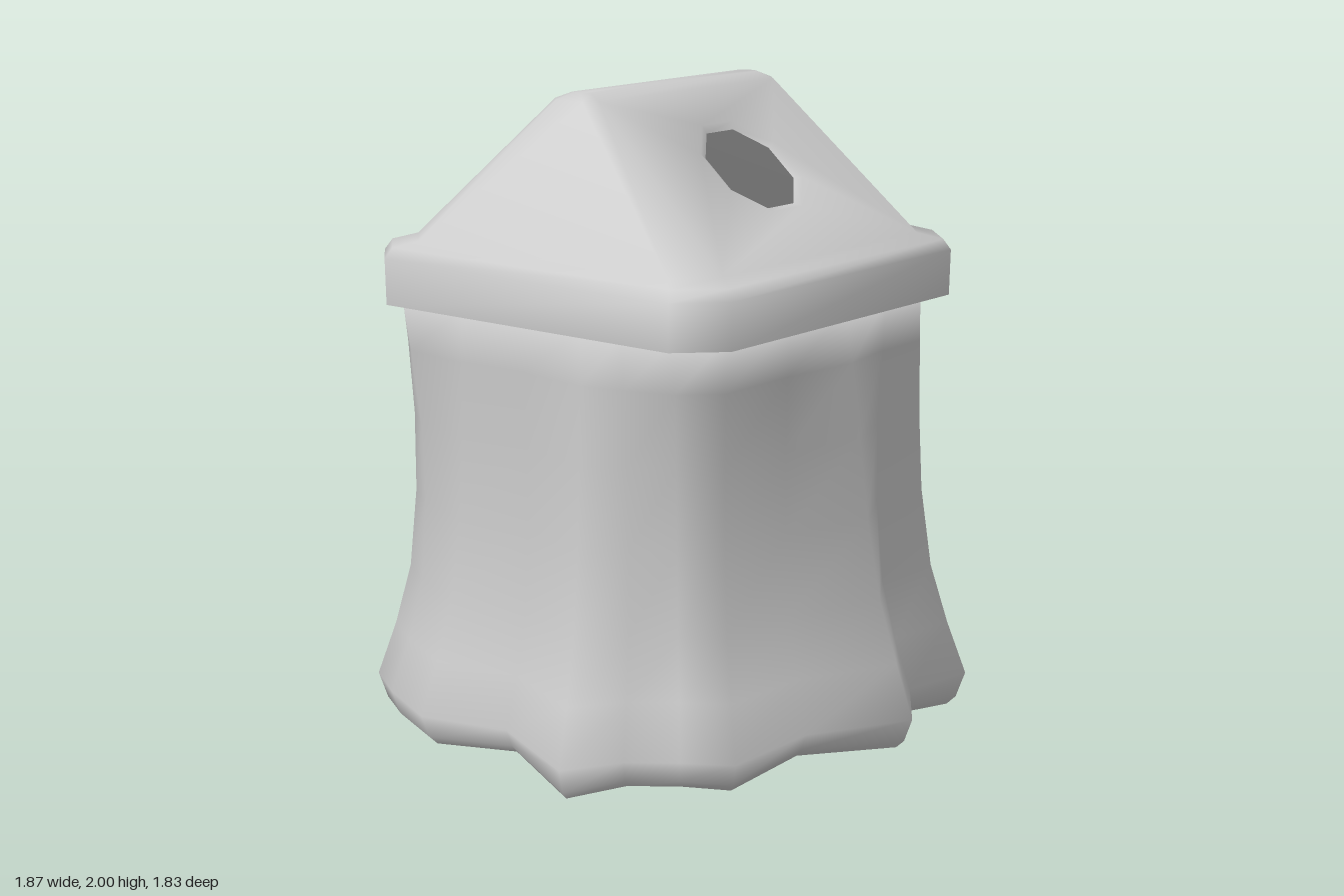
import * as THREE from 'three';
import { mergeGeometries, mergeVertices, toCreasedNormals } from 'three/addons/utils/BufferGeometryUtils.js';

const material = new THREE.MeshStandardMaterial({ color: 0xcccccc, side: THREE.DoubleSide });
const TURN = -0.47; // the square roof sits askew over the cloth

// Skin a stack of closed loops in order; skip(row, column) leaves gaps.
function loft(loops, skip = () => false) {
  const n = loops[0].length, index = [];
  for (let r = 0; r < loops.length - 1; r++) {
    for (let i = 0; i < n; i++) {
      if (skip(r, i)) continue;
      const a = r * n + i, b = r * n + (i + 1) % n;
      index.push(a, a + n, b, b, a + n, b + n);
    }
  }
  const geometry = new THREE.BufferGeometry();
  geometry.setAttribute('position', new THREE.Float32BufferAttribute(loops.flat(2), 3));
  geometry.setIndex(index);
  return geometry;
}

// Rectangle with cut corners; column 0 is the +x side and column 4 the -x side.
function cutRect(y, hx, hz, cut) {
  const x = hx - cut, z = hz - cut;
  return [[hx, y, -z], [hx, y, z], [x, y, hz], [-x, y, hz],
    [-hx, y, z], [-hx, y, -z], [-x, y, -hz], [x, y, -hz]];
}

// One sloping roof side with an eight-sided opening and its softened edge.
function slopeWithHole(eave, ridge) {
  const [x0, y0, z0] = eave, [x1, y1, z1] = ridge;
  const length = Math.hypot(x1 - x0, y1 - y0);
  const tilt = Math.atan2(x0 - x1, y1 - y0);
  const ring = (radius, depth) => Array.from({ length: 8 }, (_, i) => {
    const a = (i + 0.5) * Math.PI / 4;
    return [radius * Math.cos(a), length * 0.53 + radius * Math.sin(a), depth];
  });
  const shape = new THREE.Shape([[z0, 0], [-z0, 0], [-z1, length], [z1, length]]
    .map(([x, y]) => new THREE.Vector2(x, y)));
  const outer = ring(0.19, 0);
  shape.holes.push(new THREE.Path(outer.map(([x, y]) => new THREE.Vector2(x, y))));
  const face = new THREE.ShapeGeometry(shape);
  face.deleteAttribute('uv');
  face.deleteAttribute('normal');
  const rim = loft([outer, ring(0.165, -0.012)].map((l) => l.reverse()));
  return mergeGeometries([face.toNonIndexed(), rim.toNonIndexed()])
    .rotateX(-tilt).rotateY(Math.PI / 2).translate(x0, y0, 0);
}

// Hipped roof with a thick rounded eave band, a narrow ridge and two openings.
function makeRoof() {
  const loops = [
    cutRect(1.345, 0.6, 0.6, 0.1),
    cutRect(1.345, 0.672, 0.668, 0.125),
    cutRect(1.485, 0.674, 0.67, 0.125),
    cutRect(1.518, 0.655, 0.65, 0.12),
    cutRect(1.537, 0.592, 0.592, 0.11),
    cutRect(1.98, 0.085, 0.45, 0.035),
    cutRect(2, 0.035, 0.415, 0.02),
    cutRect(2, 0, 0, 0),
  ];
  const shell = loft(loops, (r, i) => r === 4 && (i === 0 || i === 4)).toNonIndexed();
  const slope = slopeWithHole(loops[4][1], loops[5][1]);
  const whole = mergeGeometries([shell, slope, slope.clone().rotateY(Math.PI)]);
  const roof = new THREE.Mesh(toCreasedNormals(whole, 1.1), material);
  roof.name = 'roof';
  roof.rotation.y = TURN;
  roof.position.set(0.008, 0, 0.033);
  return roof;
}

// Thick hanging cloth, open below: square under the roof, spreading into folds at the hem.
function makeCloth() {
  const hem = [
    [-0.14, -0.92], [0.1, -0.7], [0.26, -0.69], [0.41, -0.68], [0.58, -0.43], [0.8, -0.36],
    [0.93, -0.2], [0.78, 0.02], [0.82, 0.28], [0.53, 0.5], [0.37, 0.77], [0.21, 0.79],
    [0.05, 0.82], [-0.12, 0.91], [-0.35, 0.65], [-0.64, 0.57], [-0.8, 0.37], [-0.9, 0.2],
    [-0.94, -0.12], [-0.65, -0.35], [-0.62, -0.55], [-0.41, -0.63], [-0.28, -0.74],
  ];
  const c = Math.cos(TURN), s = Math.sin(TURN);
  // Point of the cut square under the roof, in a given direction.
  const squarePoint = (dx, dz) => {
    const a = Math.abs(dx * c - dz * s), b = Math.abs(dx * s + dz * c);
    const radius = Math.min(0.63 / Math.max(a, b), 1.12 / (a + b));
    return [dx * radius - 0.012, dz * radius + 0.03];
  };
  // Height, share of the hem outline, scale of the hem outline, hem waviness, inset.
  const rows = [
    // lining, from the ceiling down
    [1.22, 0, 0, 0, 0], [1.29, 0, 0, 0, 0.94], [0.97, 0.55, 0.83, 0, 0.94],
    [0.47, 0.92, 0.88, 0, 0.94], [0.2, 1, 0.97, 0, 0.94], [0.07, 1, 1, 0.5, 0.93],
    // hem and outside, upwards
    [0.005, 1, 1, 1, 0.94], [0.03, 1, 1, 1, 0.97], [0.11, 1, 1, 0.3, 1],
    [0.28, 1, 0.935, 0, 1], [0.47, 0.92, 0.88, 0, 1], [0.72, 0.75, 0.845, 0, 1],
    [0.97, 0.55, 0.83, 0, 1], [1.2, 0.25, 0.83, 0, 1], [1.36, 0, 0, 0, 1],
    // sagging top inside the roof
    [1.26, 0, 0, 0, 0],
  ];
  const loops = rows.map(([y, share, scale, wave, inset]) => hem.map(([x, z]) => {
    const r = Math.hypot(x, z);
    const [sx, sz] = squarePoint(x / r, z / r);
    const lift = wave * THREE.MathUtils.clamp((0.92 - r) * 0.2, 0, 0.04);
    return [inset * THREE.MathUtils.lerp(sx, x * scale, share), y + lift,
      inset * THREE.MathUtils.lerp(sz, z * scale, share)];
  }));
  const geometry = mergeVertices(loft(loops));
  geometry.computeVertexNormals();
  const cloth = new THREE.Mesh(geometry, material);
  cloth.name = 'hangingCloth';
  return cloth;
}

export function createModel() {
  const model = new THREE.Group();
  model.name = 'roofedHood';
  model.add(makeRoof(), makeCloth());
  return model;
}
